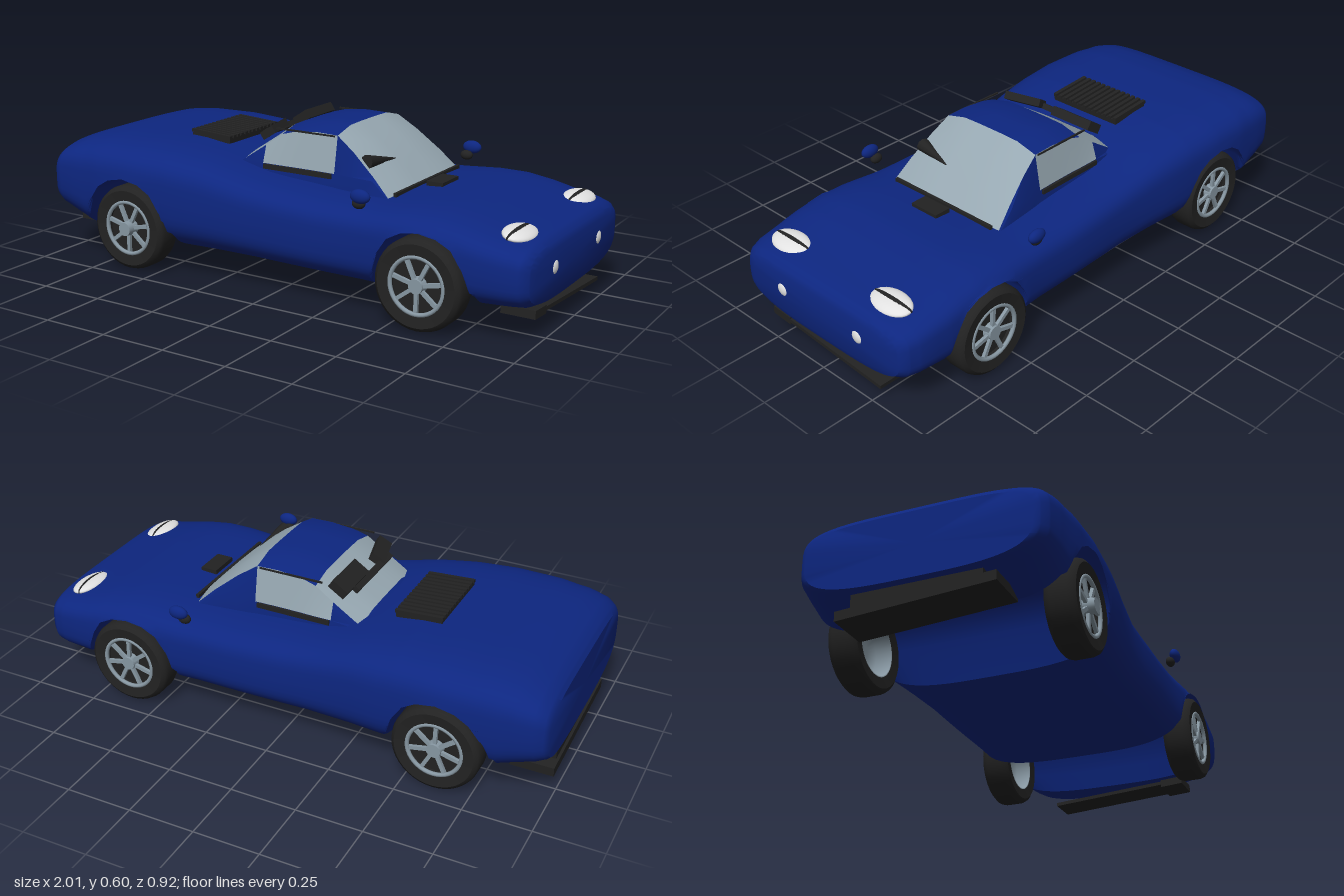
import * as THREE from 'three';
import { toCreasedNormals } from 'three/addons/utils/BufferGeometryUtils.js';

const mat = (name, color, side = THREE.FrontSide) => {
  const m = new THREE.MeshStandardMaterial({ color, side });
  m.name = name;
  return m;
};

// Linear lookup in a table of [x, value] pairs
function lerpTable(table, x) {
  if (x <= table[0][0]) return table[0][1];
  for (let i = 1; i < table.length; i++) {
    const [x0, a] = table[i - 1], [x1, b] = table[i];
    if (x <= x1) return a + (b - a) * (x - x0) / (x1 - x0);
  }
  return table[table.length - 1][1];
}

// Skin rings of [x, y, z] points; keep(i, j) selects the quads
function loft(rings, closed, caps, keep = () => true) {
  const pos = [];
  const n = rings[0].length;
  const count = closed ? n : n - 1;
  for (let i = 0; i < rings.length - 1; i++) {
    for (let j = 0; j < count; j++) {
      if (!keep(i, j)) continue;
      const k = (j + 1) % n;
      const a = rings[i][j], b = rings[i + 1][j], c = rings[i + 1][k], d = rings[i][k];
      pos.push(...a, ...b, ...c, ...a, ...c, ...d);
    }
  }
  if (caps) {
    for (const [ring, flip] of [[rings[0], false], [rings[rings.length - 1], true]]) {
      const ys = ring.map(p => p[1]);
      const mid = [ring[0][0], (Math.min(...ys) + Math.max(...ys)) / 2, 0];
      for (let j = 0; j < n; j++) {
        const p = ring[j], q = ring[(j + 1) % n];
        pos.push(...mid, ...(flip ? q : p), ...(flip ? p : q));
      }
    }
  }
  const g = new THREE.BufferGeometry();
  g.setAttribute('position', new THREE.Float32BufferAttribute(pos, 3));
  return toCreasedNormals(g, 0.6);
}

export function createModel() {
  const car = new THREE.Group();
  car.name = 'sportsCar';
  const blue = mat('blue paint', 0x0d2680, THREE.DoubleSide);
  const glass = mat('glass', 0x97a8b2, THREE.DoubleSide);
  const black = mat('black trim', 0x222222);
  const metal = mat('wheel metal', 0x8797a2, THREE.DoubleSide);
  const white = mat('lamp white', 0xe2e2e2);

  const add = (name, geo, material, p = [0, 0, 0], r = [0, 0, 0], s = [1, 1, 1], parent = car) => {
    const m = new THREE.Mesh(geo, material);
    m.name = name;
    m.position.set(...p);
    m.rotation.set(...r);
    m.scale.set(...s);
    parent.add(m);
    return m;
  };
  const box = (name, size, p, r, parent) =>
    add(name, new THREE.BoxGeometry(...size), black, p, r, undefined, parent);
  const ball = new THREE.SphereGeometry(1, 24, 16);

  // Body shell: rounded sections along x, raised over the wheels
  const top = [[-1, 0.41], [-0.985, 0.43], [-0.95, 0.452], [-0.88, 0.472], [-0.78, 0.484], [-0.6, 0.487], [-0.45, 0.48],
    [-0.3, 0.46], [-0.2, 0.437], [-0.1, 0.415], [0, 0.405], [0.2, 0.393], [0.4, 0.393], [0.55, 0.403], [0.65, 0.401],
    [0.75, 0.386], [0.85, 0.363], [0.93, 0.348], [0.975, 0.335], [0.992, 0.318], [1, 0.295]];
  const half = [[-1, 0.4], [-0.99, 0.418], [-0.96, 0.437], [-0.9, 0.447], [-0.75, 0.459], [-0.6, 0.461], [-0.4, 0.448],
    [-0.25, 0.43], [-0.1, 0.417], [0.1, 0.42], [0.35, 0.421], [0.5, 0.431], [0.65, 0.436], [0.8, 0.432],
    [0.92, 0.422], [0.965, 0.408], [0.99, 0.385], [1, 0.35]];
  const floor = [[-1, 0.17], [-0.9, 0.13], [-0.83, 0.1], [-0.41, 0.08], [0.42, 0.08], [0.82, 0.09], [0.96, 0.1], [0.99, 0.115], [1, 0.14]];
  const arch = [[-0.836, 0], [-0.835, 0.1], [-0.81, 0.19], [-0.78, 0.262], [-0.74, 0.313], [-0.69, 0.343], [-0.62, 0.357],
    [-0.55, 0.343], [-0.5, 0.312], [-0.46, 0.25], [-0.435, 0.175], [-0.41, 0.08], [-0.409, 0],
    [0.419, 0], [0.42, 0.08], [0.437, 0.175], [0.458, 0.25], [0.495, 0.304], [0.55, 0.333], [0.615, 0.343],
    [0.68, 0.333], [0.735, 0.304], [0.77, 0.25], [0.797, 0.175], [0.82, 0.09], [0.821, 0]];
  const xs = [...new Set([...top, ...half, ...floor, ...arch].map(p => p[0]))].sort((a, b) => a - b);
  const power = (v, n) => Math.sign(v) * Math.abs(v) ** n;
  const N = 64;
  const bodyRings = xs.map(x => {
    const t = lerpTable(top, x), w = lerpTable(half, x), f = lerpTable(floor, x), cut = lerpTable(arch, x);
    const mid = f + 0.53 * (t - f);
    return Array.from({ length: N }, (_, j) => {
      const a = j / N * Math.PI * 2, c = Math.cos(a), s = Math.sin(a);
      const n = s >= 0 ? 0.47 : 0.6;
      const y = mid + power(s, n) * (s >= 0 ? t - mid : mid - f);
      return [x, Math.max(y, cut), w * power(c, n)];
    });
  });
  add('bodyShell', loft(bodyRings, true, true), blue);

  // Cabin: [x, roof height, shoulder half width, base half width]
  const cabin = [[-0.29, 0.425, 0.225, 0.24], [-0.24, 0.455, 0.22, 0.245], [-0.13, 0.527, 0.22, 0.245], [-0.06, 0.575, 0.218, 0.245],
    [0, 0.592, 0.216, 0.243], [0.09, 0.6, 0.216, 0.243], [0.175, 0.598, 0.217, 0.245], [0.25, 0.548, 0.23, 0.253],
    [0.34, 0.475, 0.248, 0.262], [0.425, 0.395, 0.265, 0.27]];
  const cabinRings = cabin.map(([x, y, ws, wb]) => {
    const shoulder = y - 0.024;
    const sill = Math.min(0.44, shoulder - 0.003);
    const side = [[wb, 0.36], [wb - 0.004, sill], [ws, shoulder], [ws * 0.6, y - 0.002], [ws * 0.25, y]];
    return [...side.map(([z, h]) => [x, h, z]), ...side.reverse().map(([z, h]) => [x, h, -z])];
  });
  const isGlass = (i, j) => {
    const overTop = j >= 2 && j <= 6, window = j === 1 || j === 7;
    return (overTop && (i === 1 || i === 2 || i >= 6)) || (window && i >= 2 && i <= 5);
  };
  add('cabinShell', loft(cabinRings, false, false, (i, j) => !isGlass(i, j)), blue);
  add('cabinGlass', loft(cabinRings, false, false, isGlass), glass);

  // Wheels
  const tyreProfile = [[0.105, -0.05], [0.145, -0.055], [0.158, -0.045], [0.163, -0.03], [0.163, 0.03],
    [0.158, 0.045], [0.145, 0.055], [0.105, 0.05], [0.105, -0.05]].map(p => new THREE.Vector2(...p));
  const tyreGeo = toCreasedNormals(new THREE.LatheGeometry(tyreProfile, 40), 0.7);
  const dishGeo = new THREE.LatheGeometry([[0.001, 0.012], [0.04, 0.012], [0.09, 0.005], [0.1, -0.05], [0.106, -0.05]]
    .map(p => new THREE.Vector2(...p)), 32);
  for (const x of [-0.617, 0.615]) {
    for (const side of [1, -1]) {
      const wheel = new THREE.Group();
      wheel.name = (x > 0 ? 'front' : 'rear') + (side < 0 ? 'Right' : 'Left') + 'Wheel';
      wheel.position.set(x, 0.163, side * 0.39);
      wheel.rotation.x = side * Math.PI / 2;
      car.add(wheel);
      const put = (name, geo, m, p, r, s) => add(name, geo, m, p, r, s, wheel);
      put('tyre', tyreGeo, black);
      put('rimBarrel', dishGeo, metal);
      put('wheelRecess', new THREE.CylinderGeometry(0.1, 0.1, 0.006, 32), black, [0, 0.022, 0]);
      put('rimRing', new THREE.TorusGeometry(0.1, 0.008, 8, 40), metal, [0, 0.046, 0], [Math.PI / 2, 0, 0]);
      for (let k = 0; k < 7; k++) {
        const a = k / 7 * Math.PI * 2 + 0.2;
        put('spoke', new THREE.BoxGeometry(0.085, 0.012, 0.014), metal,
          [Math.cos(a) * 0.058, 0.042, -Math.sin(a) * 0.058], [0, a, 0]);
      }
      const proud = x < 0 && side > 0;
      put('hub', new THREE.CylinderGeometry(0.026, 0.03, proud ? 0.05 : 0.03, 20), metal, [0, proud ? 0.046 : 0.04, 0]);
    }
  }

  // Lamps and mirrors on both sides
  const rearHalf = new THREE.SphereGeometry(1, 20, 16, -Math.PI / 2, Math.PI);
  rearHalf.rotateY(Math.PI);
  for (const s of [1, -1]) {
    add('headlamp', ball, white, [0.897, 0.346, s * 0.255], [0, 0, -0.2], [0.054, 0.02, 0.09]);
    add('headlampShroud', rearHalf, black, [0.887, 0.348, s * 0.255], [0, 0, -0.2], [0.046, 0.021, 0.09]);
    add('lowerLamp', ball, white, [0.99, 0.23, s * 0.193], [0, 0, 0], [0.016, 0.03, 0.03]);
    add('mirrorHousing', ball, blue, [0.39, 0.432, s * 0.422], [0, 0, 0], [0.038, 0.025, 0.019]);
    add('mirrorStem', ball, black, [0.375, 0.402, s * 0.406], [0, 0, 0], [0.025, 0.019, 0.017]);
    box('windowSillTrim', [0.29, 0.018, 0.012], [0.02, 0.43, s * 0.243]);
    box('windowTopTrim', [0.25, 0.006, 0.006], [0.04, 0.57, s * 0.218]);
  }

  // Slatted engine cover
  box('engineVentBase', [0.175, 0.02, 0.31], [-0.43, 0.482, 0], [0, 0, -0.06]);
  for (let k = 0; k < 13; k++) {
    box('engineVentSlat', [0.18, 0.012, 0.015], [-0.43, 0.495, -0.15 + k * 0.025], [0, 0, -0.06]);
  }

  // Bonnet vent and windscreen base trim
  box('bonnetVent', [0.065, 0.022, 0.122], [0.48, 0.402, 0]);
  box('windscreenTrim', [0.012, 0.016, 0.48], [0.422, 0.397, 0]);

  // Rear window fittings
  box('rearWindowBar', [0.025, 0.022, 0.29], [-0.182, 0.53, 0], [0, 0, 0.58]);
  box('rearFittingRight', [0.07, 0.035, 0.18], [-0.145, 0.555, -0.125], [0, 0, 0.58]);
  box('rearFittingLeft', [0.055, 0.03, 0.15], [-0.15, 0.545, 0.135], [0, 0.25, 0.58]);

  // Tapered windscreen wiper
  const wiper = add('windscreenWiper', new THREE.ConeGeometry(0.026, 0.18, 10), black, [0.315, 0.488, 0.138]);
  wiper.quaternion.setFromUnitVectors(new THREE.Vector3(0, 1, 0), new THREE.Vector3(0.18, -0.1, -1).normalize());

  // Front splitter and rear diffuser
  box('frontSplitter', [0.125, 0.014, 0.56], [0.915, 0.07, 0.01], [-0.07, 0, 0]);
  box('splitterEnd', [0.125, 0.03, 0.09], [0.915, 0.084, 0.245], [-0.07, 0, 0]);
  box('rearDiffuser', [0.16, 0.035, 0.56], [-0.915, 0.105, 0], [-0.06, 0, 0]);
  box('diffuserMount', [0.15, 0.05, 0.46], [-0.91, 0.135, 0]);

  return car;
}
